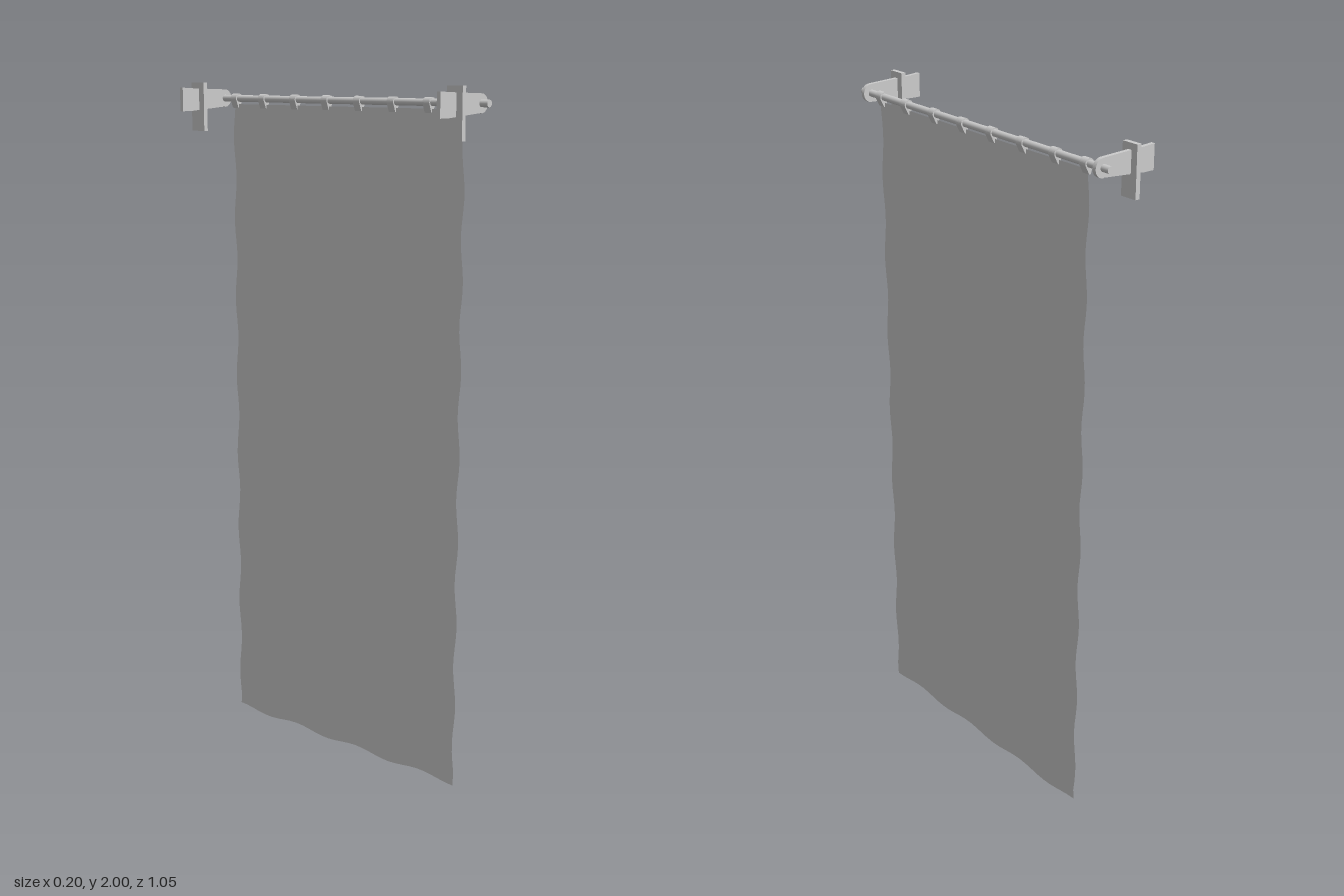
import * as THREE from 'three';

const ROD_X = 0.072, ROD_Y = 1.953, ROD_R = 0.01;

export function createModel() {
  const group = new THREE.Group();
  const grey = new THREE.MeshStandardMaterial({ color: 0xcccccc });
  const cloth = new THREE.MeshStandardMaterial({ color: 0xcccccc, side: THREE.DoubleSide });

  const add = (name, geometry, material, x, y, z) => {
    const mesh = new THREE.Mesh(geometry, material);
    mesh.name = name;
    mesh.position.set(x, y, z);
    group.add(mesh);
  };

  // Extrude a profile along z, centred on z = 0
  const slab = (shape, depth) =>
    new THREE.ExtrudeGeometry(shape, { depth, bevelEnabled: false, curveSegments: 12 })
      .translate(0, 0, -depth / 2);

  const hole = (r) => new THREE.Path().absarc(0, 0, r, 0, Math.PI * 2, true);

  // Rod
  add('rod', new THREE.CylinderGeometry(ROD_R, ROD_R, 1.054, 20).rotateX(Math.PI / 2),
    grey, ROD_X, ROD_Y, 0);

  // Tapered bracket arm with a rounded, pierced end (origin at the rod)
  const arm = new THREE.Shape();
  arm.moveTo(-0.171, -0.036);
  arm.lineTo(-0.14, -0.036);
  arm.lineTo(-0.002, -0.025);
  arm.absarc(0, 0, 0.026, -Math.PI / 2, Math.PI / 2, false);
  arm.lineTo(-0.14, 0.031);
  arm.lineTo(-0.171, 0.033);
  arm.closePath();
  arm.holes.push(hole(ROD_R));
  const armGeometry = slab(arm, 0.012);
  const plateGeometry = new THREE.BoxGeometry(0.014, 0.142, 0.053);

  for (const side of [1, -1]) {
    add('bracketArm', armGeometry, grey, ROD_X, ROD_Y, side * 0.495);
    add('wallPlate', plateGeometry, grey, -0.027, 1.929, side * 0.495);
  }

  // Cloth loops wrapped over the rod and pinched onto the banner
  const loop = new THREE.Shape();
  loop.moveTo(-0.004, -0.028);
  loop.lineTo(0.001, -0.028);
  loop.lineTo(0.0135, -0.004);
  loop.absarc(0, 0, 0.014, -0.3, Math.PI + 0.3, false);
  loop.closePath();
  loop.holes.push(hole(ROD_R));
  const loopGeometry = slab(loop, 0.024);
  for (const z of [0.063, 0.19, 0.32, 0.438]) {
    for (const side of [1, -1]) add('hangingLoop', loopGeometry, grey, ROD_X, ROD_Y, side * z);
  }

  // Banner sheet with gently wavy sides and hem
  const top = 1.936, half = 0.445, points = [];
  const wave = (y) => 0.005 * Math.sin((y - 0.06) * Math.PI * 2 / 0.245);
  const hem = (u) => 0.006 - 0.006 * Math.cos((u + half) * Math.PI * 2 / 0.254);
  for (let i = 0; i <= 32; i++) {
    const u = -half + (2 * half * i) / 32;
    points.push(new THREE.Vector2(u, hem(u)));
  }
  for (let i = 1; i <= 64; i++) {
    const y = 0.012 + ((top - 0.012) * i) / 64;
    points.push(new THREE.Vector2(half + wave(y), y));
  }
  for (let i = 64; i >= 1; i--) {
    const y = 0.012 + ((top - 0.012) * i) / 64;
    points.push(new THREE.Vector2(-half + wave(y), y));
  }
  add('banner', new THREE.ShapeGeometry(new THREE.Shape(points)).rotateY(Math.PI / 2),
    cloth, 0.07, 0, 0);

  return group;
}
